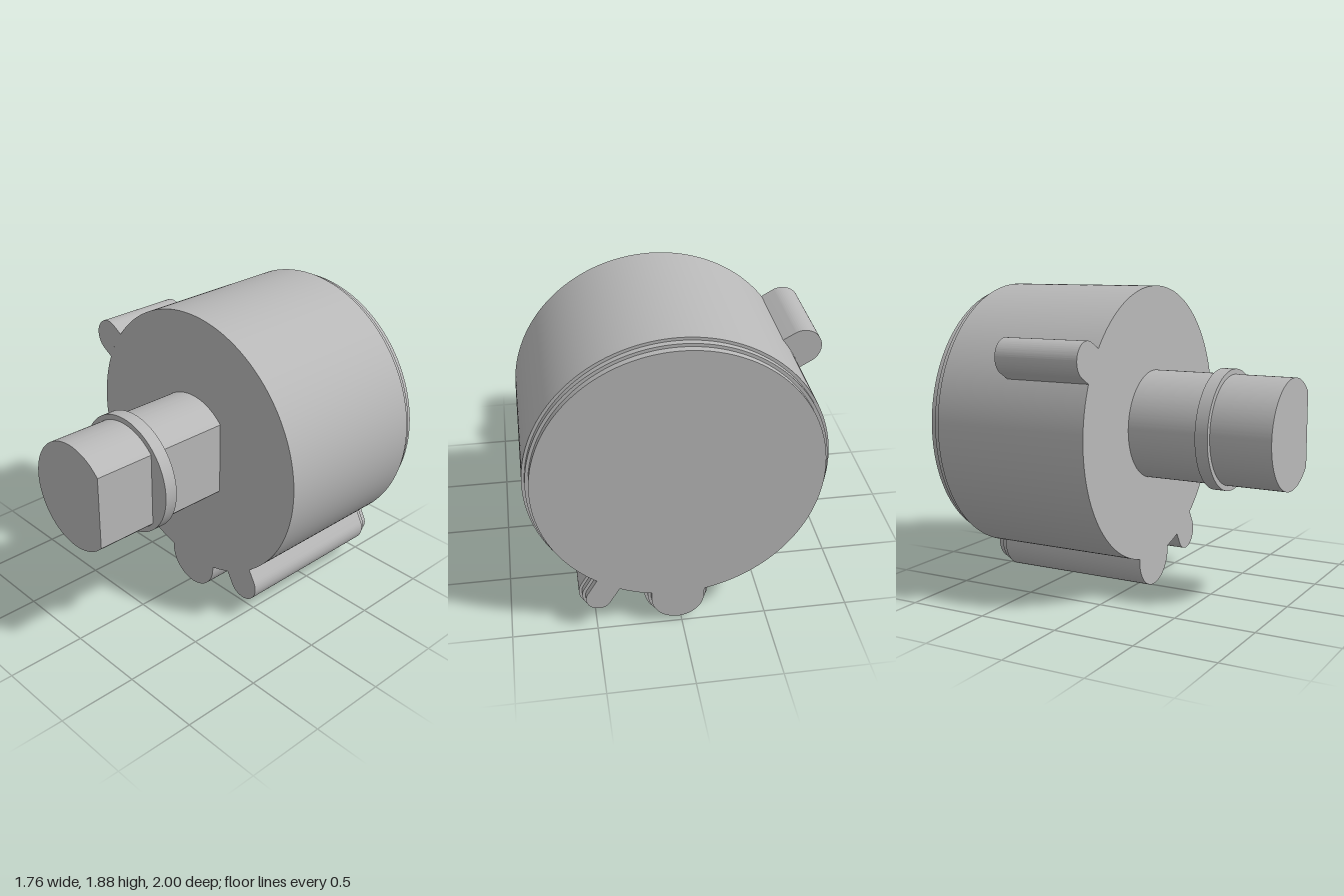
import * as THREE from 'three';
import { toCreasedNormals } from 'three/addons/utils/BufferGeometryUtils.js';

const CX = 0.025, CY = 1.035, R = 0.85;
const rad = THREE.MathUtils.degToRad;

// Lobes on the rim: direction, distance of the round end from the axis, radius
const bottomLobe = { a: rad(-90), d: 0.845, r: 0.19 };
const sideLobe = { a: rad(-60), d: 0.925, r: 0.11 };
const shortLobe = { a: rad(150), d: 0.92, r: 0.109 };

function lobeArc(shape, { a, d, r }, inset) {
  shape.absarc(d * Math.cos(a), d * Math.sin(a), r - inset, a - Math.PI / 2, a + Math.PI / 2, false);
}

// Angle that half of a lobe covers on the body circle
const halfAngle = (lobe, inset) => Math.asin((lobe.r - inset) / (R - inset));

// Round body outline with the two full-length lobes, shrunk by inset
function bodyOutline(inset) {
  const s = new THREE.Shape();
  const hb = halfAngle(bottomLobe, inset), hs = halfAngle(sideLobe, inset);
  lobeArc(s, bottomLobe, inset);
  s.absarc(0, 0, R - inset, bottomLobe.a + hb, sideLobe.a - hs, false);
  lobeArc(s, sideLobe, inset);
  s.absarc(0, 0, R - inset, sideLobe.a + hs, bottomLobe.a - hb + Math.PI * 2, false);
  return s;
}

export function createModel() {
  const model = new THREE.Group();
  const grey = new THREE.MeshStandardMaterial({ color: 0xb8b8b8 });
  grey.name = 'plain grey';

  // Extrude an outline around the shaft axis from zBack to zFront
  function addPart(name, shape, zBack, zFront) {
    const geo = new THREE.ExtrudeGeometry(shape, {
      depth: zFront - zBack, bevelEnabled: false, curveSegments: 96,
    });
    const mesh = new THREE.Mesh(toCreasedNormals(geo, 0.3), grey);
    mesh.name = name;
    mesh.position.set(CX, CY, zBack);
    model.add(mesh);
  }

  // Housing and its two stepped back rims
  addPart('housing', bodyOutline(0), -0.925, 0.09);
  addPart('backStepOuter', bodyOutline(0.017), -0.96, -0.925);
  addPart('backStepInner', bodyOutline(0.035), -1, -0.96);

  // Short lobe on the upper side, closed along the housing surface
  const lug = new THREE.Shape();
  const h = halfAngle(shortLobe, 0);
  lobeArc(lug, shortLobe, 0);
  lug.absarc(0, 0, R, shortLobe.a + h, shortLobe.a - h, true);
  addPart('shortLobe', lug, -0.457, 0.09);

  // Shaft with one flat side
  const shaft = new THREE.Shape();
  const flat = Math.acos(0.245 / 0.335);
  shaft.absarc(0, 0, 0.335, flat, Math.PI * 2 - flat, false);
  shaft.closePath();
  addPart('shaft', shaft, 0.09, 1);

  // Round collar on the shaft
  const collar = new THREE.Shape();
  collar.absarc(0, 0, 0.367, 0, Math.PI * 2, false);
  addPart('shaftCollar', collar, 0.542, 0.622);

  return model;
}
